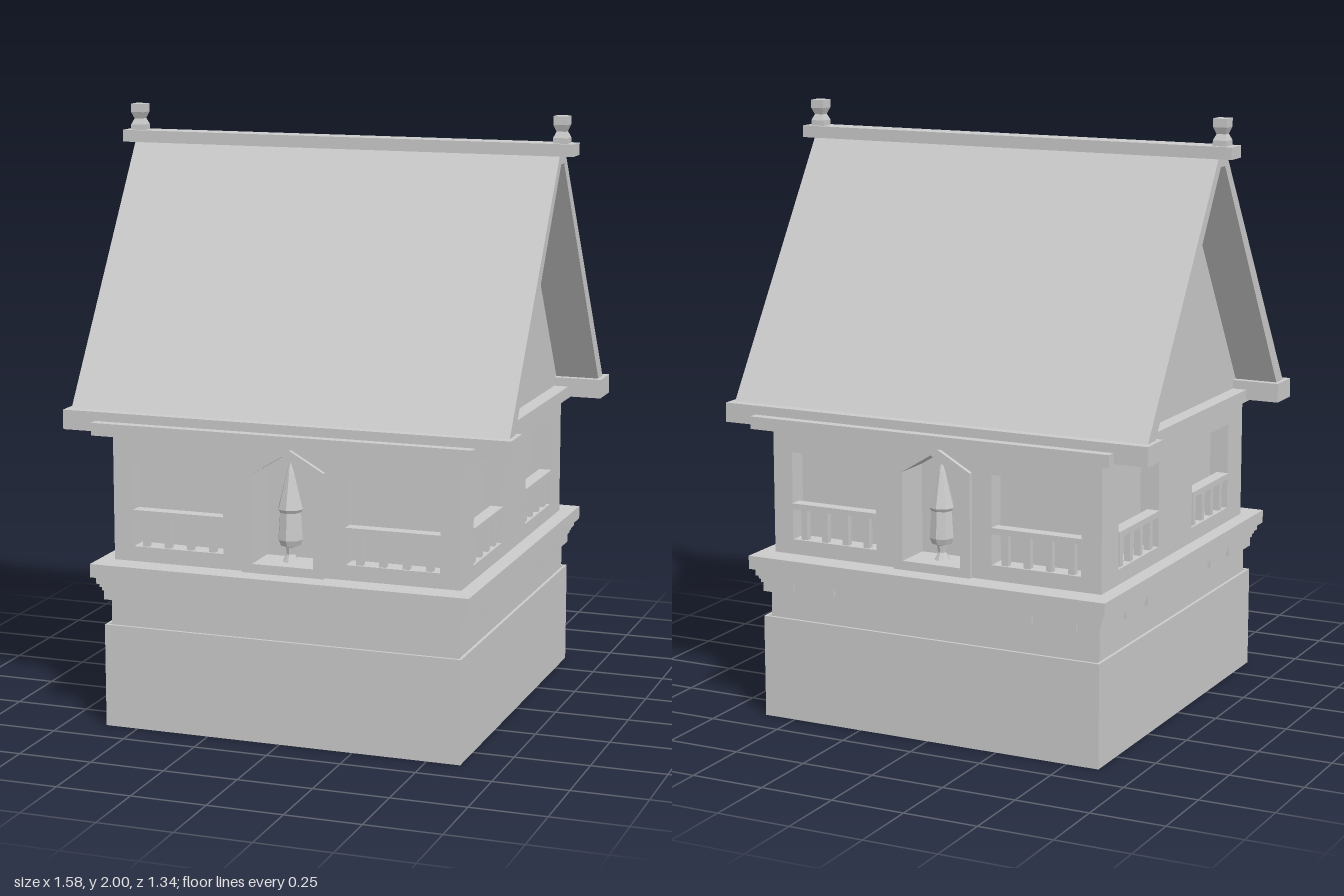
import * as THREE from 'three';

const mat = new THREE.MeshStandardMaterial({ color: 0xcccccc, flatShading: true, side: THREE.DoubleSide });

function add(parent, name, geo, x = 0, y = 0, z = 0) {
  const m = new THREE.Mesh(geo, mat);
  m.name = name;
  m.position.set(x, y, z);
  parent.add(m);
  return m;
}

// Box given by its lower and upper limits
function box(parent, name, x0, x1, y0, y1, z0, z1) {
  return add(parent, name, new THREE.BoxGeometry(x1 - x0, y1 - y0, z1 - z0),
    (x0 + x1) / 2, (y0 + y1) / 2, (z0 + z1) / 2);
}

const poly = pts => new THREE.Shape(pts.map(p => new THREE.Vector2(p[0], p[1])));
const rect = (x0, x1, y0, y1) => poly([[x0, y0], [x1, y0], [x1, y1], [x0, y1]]);
const arch = (w, y0, y1, top) => poly([[-w, y0], [w, y0], [w, y1], [0, top], [-w, y1]]);

function extrude(shape, depth, holes = []) {
  shape.holes.push(...holes);
  return new THREE.ExtrudeGeometry(shape, { depth, bevelEnabled: false });
}

// Hollow rectangular course of the building
function course(parent, name, hx, hz, y0, y1, inX, inZ) {
  const g = extrude(rect(-hx, hx, -hz, hz), y1 - y0, [rect(-inX, inX, -inZ, inZ)]);
  g.rotateX(-Math.PI / 2);
  add(parent, name, g, 0, y0, 0);
}

// Profile in (z, y) extruded along x
function alongX(shape, depth) {
  return extrude(shape, depth).translate(0, 0, -depth / 2).rotateY(-Math.PI / 2);
}

// Recessed window with a handrail and balusters
function windowBay(parent, cx, w, face) {
  const g = new THREE.Group();
  g.name = 'window';
  g.position.set(cx, 0, 0);
  box(g, 'windowPanel', -w / 2 - 0.01, w / 2 + 0.01, 0.595, 0.91, face - 0.08, face - 0.065);
  box(g, 'handrail', -w / 2, w / 2, 0.708, 0.728, face - 0.04, face + 0.004);
  for (let i = 0; i < 4; i++) {
    const x = (i - 1.5) * 0.078;
    box(g, 'baluster', x - 0.011, x + 0.011, 0.605, 0.708, face - 0.03, face - 0.008);
  }
  parent.add(g);
}

// One side of the upper storey, facing +z before it is turned
function facade(half, face, winX0, winX1, bracketXs, bracketFace, hasNiche) {
  const g = new THREE.Group();
  g.name = hasNiche ? 'longFacade' : 'gableFacade';
  const holes = [-1, 1].map(s => s < 0 ? rect(-winX1, -winX0, 0.605, 0.9) : rect(winX0, winX1, 0.605, 0.9));
  if (hasNiche) holes.push(arch(0.12, 0.57, 0.895, 0.962));
  add(g, 'wall', extrude(rect(-half, half, 0.55, 0.985), 0.07, holes), 0, 0, face - 0.07);
  for (const s of [-1, 1]) {
    windowBay(g, s * (winX0 + winX1) / 2, winX1 - winX0, face);
    for (const x of bracketXs) {
      box(g, 'bracket', s * x - 0.0225, s * x + 0.0225, 0.445, 0.49, bracketFace - 0.06, bracketFace);
    }
  }
  if (hasNiche) {
    // Pointed niche with a slender statue
    add(g, 'nicheFrame', extrude(arch(0.14, 0.555, 0.9, 0.98), 0.14, [arch(0.105, 0.585, 0.88, 0.945)]), 0, 0, face - 0.125);
    add(g, 'nicheBack', extrude(arch(0.135, 0.557, 0.898, 0.975), 0.01), 0, 0, face - 0.13);
    const profile = [[0, 0.585], [0.026, 0.585], [0.014, 0.61], [0.018, 0.635], [0.034, 0.64], [0.042, 0.66],
      [0.036, 0.75], [0.042, 0.76], [0.032, 0.8], [0.022, 0.84], [0.012, 0.88], [0, 0.915]];
    add(g, 'statue', new THREE.LatheGeometry(profile.map(p => new THREE.Vector2(p[0], p[1])), 8), 0, 0, face - 0.06);
  }
  return g;
}

export function createModel() {
  const model = new THREE.Group();
  model.name = 'gabledHouse';

  // Hollow base and stepped mouldings
  course(model, 'base', 0.612, 0.636, 0, 0.345, 0.602, 0.626);
  course(model, 'baseNeck', 0.6, 0.605, 0.335, 0.435, 0.57, 0.575);
  course(model, 'lowerBand', 0.613, 0.636, 0.43, 0.462, 0.54, 0.56);
  course(model, 'coveLower', 0.618, 0.642, 0.462, 0.474, 0.54, 0.56);
  course(model, 'coveUpper', 0.623, 0.648, 0.474, 0.486, 0.54, 0.56);
  course(model, 'upperBand', 0.631, 0.656, 0.486, 0.51, 0.54, 0.56);
  course(model, 'ledge', 0.646, 0.671, 0.51, 0.555, 0.5, 0.5);
  course(model, 'cornice', 0.645, 0.645, 0.978, 1.02, 0.5, 0.5);

  // Four facades
  for (const side of [0, 1]) {
    const long = facade(0.595, 0.585, 0.21, 0.53, [0.36, 0.515], 0.647, true);
    long.rotation.y = side * Math.PI;
    const gable = facade(0.585, 0.595, 0.14, 0.457, [0.265, 0.432], 0.624, false);
    gable.rotation.y = Math.PI / 2 + side * Math.PI;
    model.add(long, gable);
  }

  // Steep roof as one folded slab
  const roof = poly([[0.6, 1.015], [0.03, 1.885], [-0.03, 1.885], [-0.6, 1.015],
    [-0.54, 1.015], [-0.018, 1.845], [0.018, 1.845], [0.54, 1.015]]);
  add(model, 'roof', alongX(roof, 1.49));

  for (const s of [-1, 1]) {
    // Recessed gable panels, eave beams and ridge finials
    const panel = poly([[0.55, 1.01], [0.02, 1.85], [-0.02, 1.85], [-0.55, 1.01]]);
    add(model, 'gablePanel', alongX(panel, 0.03), s * 0.58);
    const z0 = s > 0 ? 0.493 : -0.612;
    box(model, 'eaveBeam', -0.76, 0.76, 0.985, 1.05, z0, z0 + 0.119);

    const r = Math.SQRT2;
    const prof = [[0, 1.905], [0.024, 1.905], [0.024, 1.93], [0.015, 1.95], [0.024, 1.972], [0.024, 2], [0, 2]];
    const finial = new THREE.LatheGeometry(prof.map(p => new THREE.Vector2(p[0] * r, p[1])), 4).rotateY(Math.PI / 4);
    add(model, 'finial', finial, s * 0.742);
  }
  box(model, 'ridgeBeam', -0.79, 0.79, 1.872, 1.912, -0.04, 0.04);

  return model;
}
